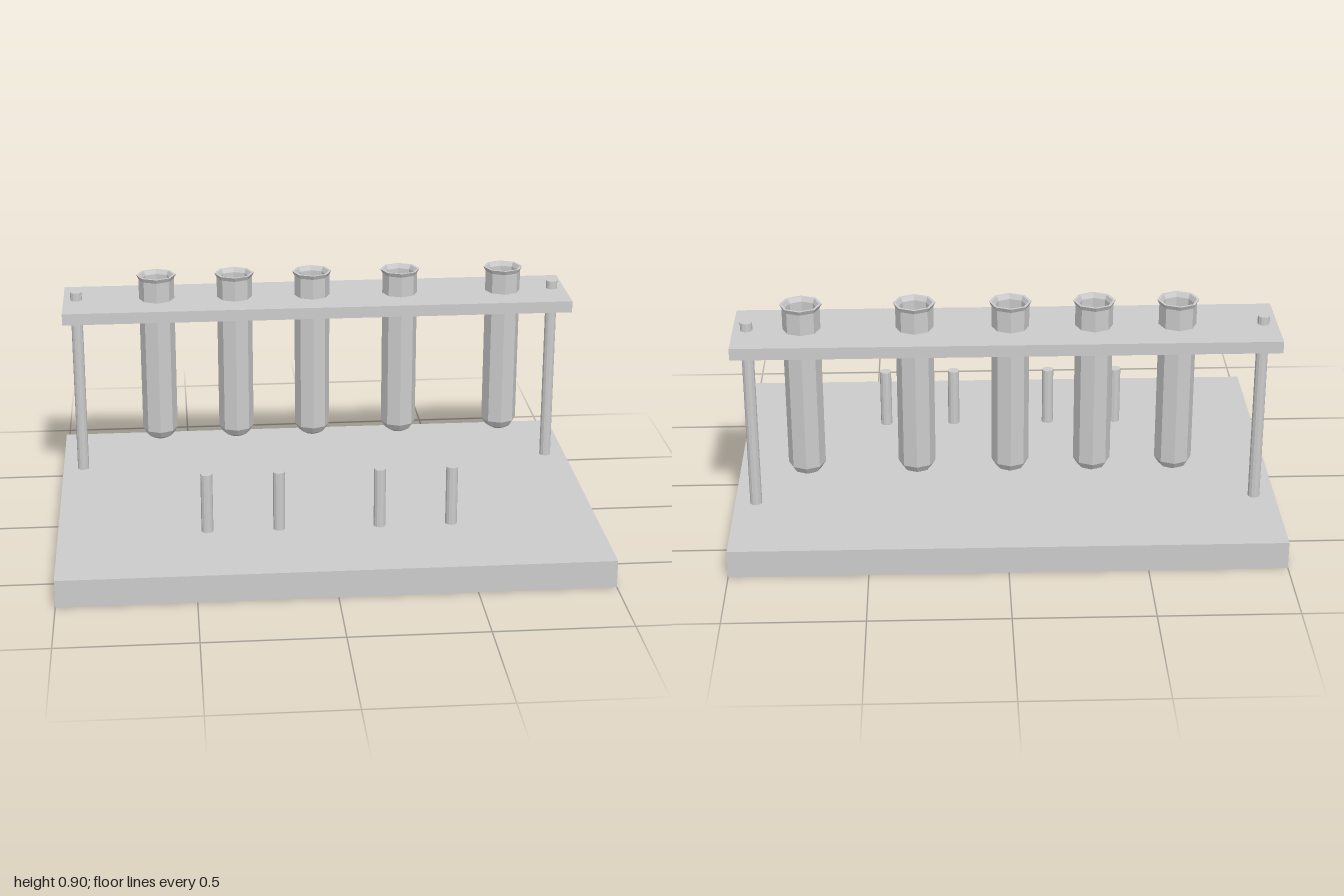
import * as THREE from 'three';

export function createModel() {
  const model = new THREE.Group();
  model.name = 'testTubeRack';
  const material = new THREE.MeshStandardMaterial({ color: 0xcccccc, flatShading: true });
  const tubeXs = [-0.614, -0.315, -0.016, 0.325, 0.727];
  const tubeZ = -0.325, tubeR = 0.0676, baseTop = 0.103;

  const add = (name, geometry, x, y, z) => {
    const mesh = new THREE.Mesh(geometry, material);
    mesh.name = name;
    mesh.position.set(x, y, z);
    model.add(mesh);
  };
  // Upright rod standing on the base
  const addRod = (name, x, z, top) => {
    const height = top - baseTop;
    add(name, new THREE.CylinderGeometry(0.022, 0.022, height, 12), x, baseTop + height / 2, z);
  };

  // Base board
  add('base', new THREE.BoxGeometry(2, baseTop, 1.384), 0, baseTop / 2, 0);

  // Top shelf with an octagonal hole for each tube
  const w = 0.971, d = 0.169;
  const outline = new THREE.Shape([
    new THREE.Vector2(-w, -d), new THREE.Vector2(w, -d),
    new THREE.Vector2(w, d), new THREE.Vector2(-w, d),
  ]);
  for (const x of tubeXs) {
    const corners = [];
    for (let i = 0; i < 8; i++) {
      const a = -i * Math.PI / 4;
      corners.push(new THREE.Vector2(x + tubeR * Math.cos(a), tubeR * Math.sin(a)));
    }
    outline.holes.push(new THREE.Path(corners));
  }
  const shelf = new THREE.ExtrudeGeometry(outline, { depth: 0.044, bevelEnabled: false });
  shelf.rotateX(-Math.PI / 2);
  add('shelf', shelf, 0, 0.757, tubeZ);

  // Posts holding the shelf, and drying pegs at the front
  for (const x of [-0.922, 0.922]) addRod('post', x, -0.331, 0.832);
  for (const x of [-0.452, -0.187, 0.185, 0.452]) addRod('peg', x, 0.31, 0.33);

  // Hollow tubes: up the outside, over the flared lip, down the inside
  const profile = [
    [0, 0.225], [0.025, 0.23], [0.052, 0.245], [tubeR, 0.27], [tubeR, 0.88],
    [0.076, 0.896], [0.066, 0.896], [0.058, 0.88], [0.058, 0.275],
    [0.045, 0.255], [0.022, 0.242], [0, 0.237],
  ].map(([r, y]) => new THREE.Vector2(r, y));
  const tube = new THREE.LatheGeometry(profile, 8);
  for (const x of tubeXs) add('testTube', tube, x, 0, tubeZ);

  return model;
}
